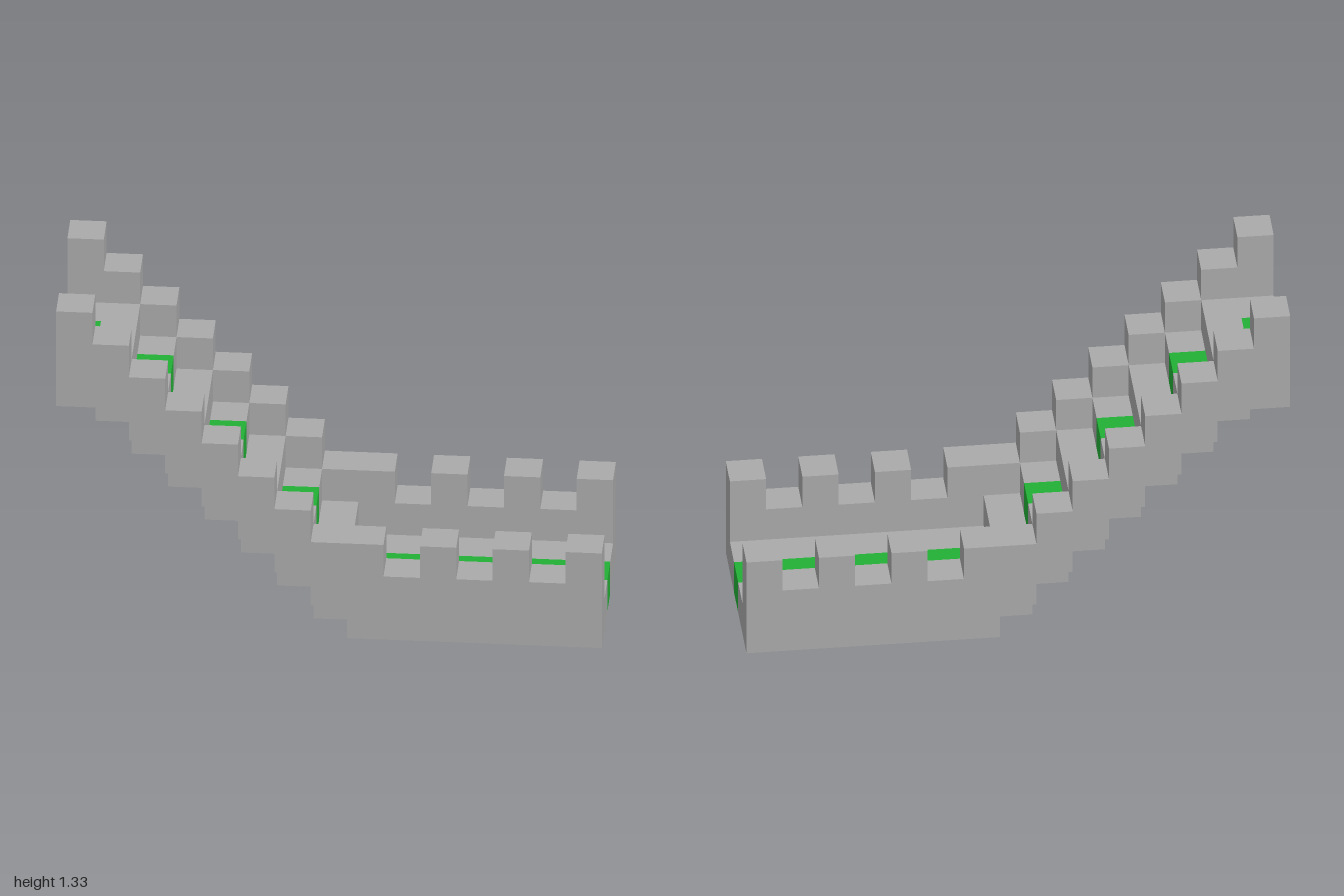
import * as THREE from 'three';

const U = 2 / 15;   // one block
const COLS = 15;    // blocks along the length

const stone = new THREE.MeshStandardMaterial({ color: 0xaaaaaa });
stone.name = 'stone grey';
const grass = new THREE.MeshStandardMaterial({ color: 0x22b035 });
grass.name = 'path green';

// Column heights, in blocks, from the top of the stair (0) to the end of the walkway (14)
const wallTop = i => (i < 7 ? 10 - i : i > 8 && i % 2 ? 2 : 3);
const wallBottom = i => (i === 0 ? 7 : Math.max(8 - i, 0));
const floorTop = i => (i === 0 ? 8 : Math.max(9 - i, 1));
const floorBottom = i => Math.max(7 - i, 0);

// Stepped outline over all columns, extruded between z0 and z1
function steppedSlab(name, top, bottom, z0, z1) {
  const pts = [];
  const add = (i, y) => {
    const p = new THREE.Vector2((i - COLS / 2) * U, y * U);
    if (!pts.length || pts[pts.length - 1].distanceTo(p) > 1e-6) pts.push(p);
  };
  for (let i = 0; i < COLS; i++) { add(i, bottom(i)); add(i + 1, bottom(i)); }
  for (let i = COLS - 1; i >= 0; i--) { add(i + 1, top(i)); add(i, top(i)); }
  const geo = new THREE.ExtrudeGeometry(new THREE.Shape(pts), { depth: (z1 - z0) * U, bevelEnabled: false });
  geo.translate(0, 0, z0 * U);
  const mesh = new THREE.Mesh(geo, stone);
  mesh.name = name;
  return mesh;
}

// Central strip of the floor, columns i0 up to i1
function stripBlock(name, i0, i1, material) {
  const h = floorTop(i0) - floorBottom(i0);
  const mesh = new THREE.Mesh(new THREE.BoxGeometry((i1 - i0) * U, h * U, U), material);
  mesh.position.set(((i0 + i1) / 2 - COLS / 2) * U, (floorBottom(i0) + h / 2) * U, 0);
  mesh.name = name;
  return mesh;
}

export function createModel() {
  const model = new THREE.Group();
  model.name = 'battlementStair';

  // Battlemented walls and the grey floor on both sides of the path
  model.add(
    steppedSlab('frontWall', wallTop, wallBottom, 1.5, 2.5),
    steppedSlab('backWall', wallTop, wallBottom, -2.5, -1.5),
    steppedSlab('frontFloor', floorTop, floorBottom, 0.5, 1.5),
    steppedSlab('backFloor', floorTop, floorBottom, -1.5, -0.5)
  );

  // Path: every other step is green, then one long green strip
  const path = new THREE.Group();
  path.name = 'path';
  for (let i = 0; i < 8; i++) {
    path.add(stripBlock(i % 2 ? 'greyStep' : 'greenStep', i, i + 1, i % 2 ? stone : grass));
  }
  path.add(stripBlock('greenWalkway', 8, COLS, grass));
  model.add(path);

  return model;
}
